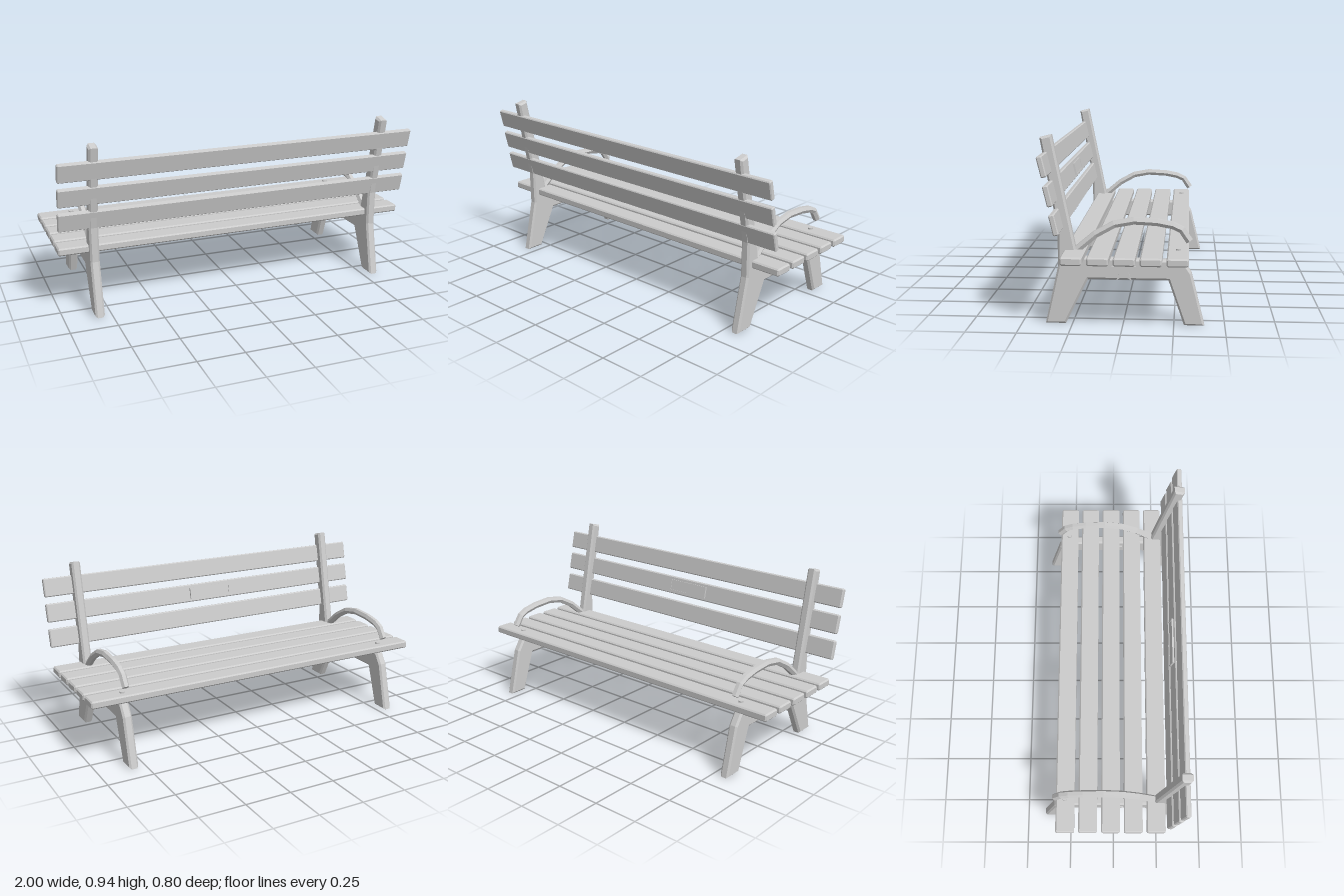
import * as THREE from 'three';

const paint = new THREE.MeshStandardMaterial({ color: 0xcccccc });
paint.name = 'light grey';

function add(parent, name, geometry, x = 0, y = 0, z = 0) {
  const mesh = new THREE.Mesh(geometry, paint);
  mesh.name = name;
  mesh.position.set(x, y, z);
  parent.add(mesh);
  return mesh;
}

// Prism along x, centred on x = 0, from a side outline of [z, y] points
function prism(points, width, bevel) {
  const shape = new THREE.Shape(points.map(([z, y]) => new THREE.Vector2(-z, y)));
  const depth = width - 2 * bevel;
  const geometry = new THREE.ExtrudeGeometry(shape, {
    depth, bevelEnabled: bevel > 0, bevelThickness: bevel, bevelSize: bevel,
    bevelOffset: -bevel, bevelSegments: 1,
  });
  return geometry.translate(0, 0, -depth / 2).rotateY(Math.PI / 2);
}

// Board along x with chamfered edges
function board(length, height, depth, c) {
  const z = depth / 2, y = height / 2;
  return prism([
    [z - c, -y], [z, -y + c], [z, y - c], [z - c, y],
    [-z + c, y], [-z, y - c], [-z, -y + c], [-z + c, -y],
  ], length, c);
}

// Six-sided bar swept along a path of [z, y] points
function hexBar(path, radius) {
  const positions = [], index = [], sides = 6;
  path.forEach(([z, y], i) => {
    const p = path[Math.max(i - 1, 0)], n = path[Math.min(i + 1, path.length - 1)];
    const t = new THREE.Vector2(n[0] - p[0], n[1] - p[1]).normalize();
    for (let k = 0; k < sides; k++) {
      const a = (k / sides) * Math.PI * 2, s = Math.sin(a) * radius;
      positions.push(Math.cos(a) * radius, y - t.x * s, z + t.y * s);
      if (i < path.length - 1) {
        const a0 = i * sides + k, a1 = i * sides + ((k + 1) % sides);
        index.push(a0, a0 + sides, a1, a1, a0 + sides, a1 + sides);
      }
    }
  });
  const end = (path.length - 1) * sides;
  for (let k = 1; k < sides - 1; k++) {
    index.push(0, k, k + 1, end, end + k + 1, end + k);
  }
  const geometry = new THREE.BufferGeometry();
  geometry.setAttribute('position', new THREE.Float32BufferAttribute(positions, 3));
  geometry.setIndex(index);
  const flat = geometry.toNonIndexed();
  flat.computeVertexNormals();
  return flat;
}

export function createModel() {
  const bench = new THREE.Group();
  bench.name = 'bench';

  // Side frame: both legs, seat rail and back post in one outline
  const frameGeometry = prism([
    [0.384, 0], [0.283, 0], [0.172, 0.227], [-0.222, 0.227], [-0.3, 0], [-0.4, 0],
    [-0.335, 0.265], [-0.295, 0.325], [0.19, 0.337], [0.23, 0.375],
    [0.342, 0.936], [0.4, 0.922], [0.319, 0.478], [0.319, 0.29],
  ], 0.05, 0.01);

  const armGeometry = hexBar([
    [0.235, 0.365], [0.135, 0.449], [0.043, 0.5], [-0.053, 0.518],
    [-0.165, 0.512], [-0.243, 0.497], [-0.285, 0.477], [-0.323, 0.421],
  ], 0.02);

  // Star ornament standing slightly proud of both faces of the rail
  const star = [];
  for (let i = 0; i < 10; i++) {
    const r = i % 2 ? 0.024 : 0.062, a = (i / 10) * Math.PI * 2;
    star.push([-0.005 + Math.sin(a) * r, 0.277 + Math.cos(a) * r]);
  }
  const starGeometry = prism(star, 0.07, 0);
  const boltGeometry = new THREE.CylinderGeometry(0.013, 0.013, 0.02, 12);

  for (const side of [-1, 1]) {
    const x = side * 0.815;
    add(bench, 'sideFrame', frameGeometry, x);
    add(bench, 'armrest', armGeometry, x);
    add(bench, 'starOrnament', starGeometry, x);
    add(bench, 'seatBolt', boltGeometry, x, 0.373, -0.27);
  }

  // Seat slats
  const seatSlat = board(2, 0.041, 0.104, 0.007);
  for (let i = 0; i < 5; i++) {
    add(bench, 'seatSlat', seatSlat, 0, 0.354, 0.236 - i * 0.126);
  }

  // Back slats, leaning with the posts
  const backSlat = board(2, 0.102, 0.028, 0.005);
  const lean = 0.23;
  for (let i = 0; i < 3; i++) {
    const slat = add(bench, 'backSlat', backSlat, 0, 0.527 + i * 0.1375, 0.313 + i * 0.0265);
    slat.rotation.x = lean;
    // Blank plaque with a raised rim on the middle slat
    if (i === 1) {
      add(slat, 'plaque', new THREE.BoxGeometry(0.26, 0.065, 0.008), 0, 0, -0.017);
      for (const s of [-1, 1]) {
        add(slat, 'plaqueRim', new THREE.BoxGeometry(0.26, 0.005, 0.004), 0, s * 0.03, -0.022);
        add(slat, 'plaqueRim', new THREE.BoxGeometry(0.005, 0.065, 0.004), s * 0.1275, 0, -0.022);
      }
    }
  }
  return bench;
}
